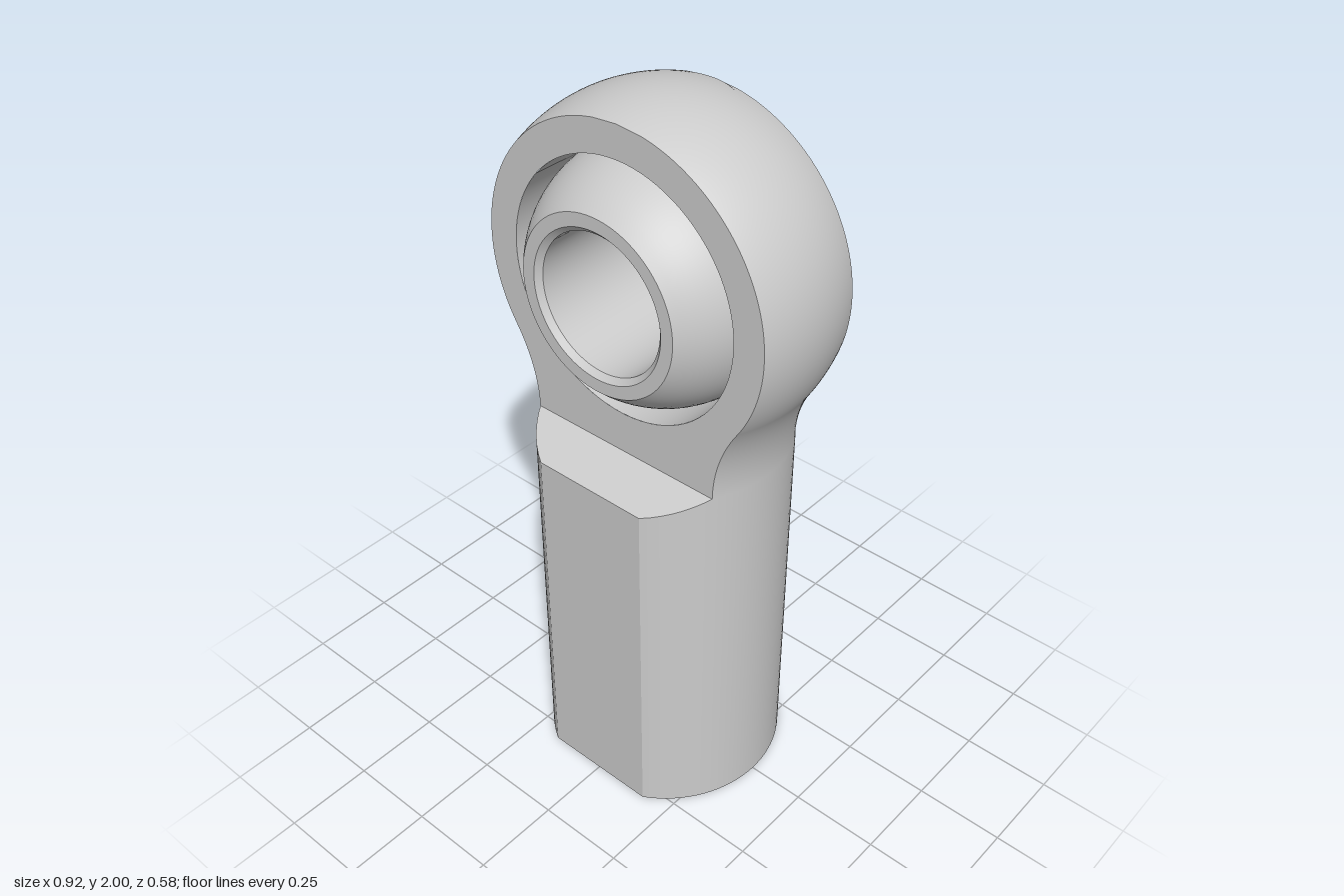
import * as THREE from 'three';
import { toCreasedNormals } from 'three/addons/utils/BufferGeometryUtils.js';

const SHANK_R = 0.335, HEAD_R = 0.46, EYE_Y = 1.54;
const FLAT_Z = 0.29, HEAD_Z = 0.163;          // half thickness of shank and head
const SLOPE_Y0 = 1.03, SLOPE_Y1 = 1.08;       // shoulder between the two
const RACE_R = 0.343, BALL_R = 0.34, BALL_Z = 0.245, BORE_R = 0.185;
const THREAD_R = 0.187, THREAD_DEPTH = 0.9;

const material = new THREE.MeshStandardMaterial({ color: 0xcccccc });

function add(parent, name, geometry, mat = material) {
  const mesh = new THREE.Mesh(geometry, mat);
  mesh.name = name;
  parent.add(mesh);
  return mesh;
}

function buffer(positions, normals, index) {
  const g = new THREE.BufferGeometry();
  g.setAttribute('position', new THREE.Float32BufferAttribute(positions, 3));
  if (normals) g.setAttribute('normal', new THREE.Float32BufferAttribute(normals, 3));
  if (index) g.setIndex(index);
  return g;
}

// Turned outline of the body, bottom to top: radius r, height y, normal (nr, ny), half thickness f
function bodyProfile() {
  const rows = [{ r: SHANK_R, y: 0, nr: 1, ny: 0, f: FLAT_Z }];
  for (let i = 0; i <= 8; i++) {
    const t = i / 8;
    rows.push({
      r: SHANK_R, y: THREE.MathUtils.lerp(SLOPE_Y0, SLOPE_Y1, t), nr: 1, ny: 0,
      f: THREE.MathUtils.lerp(FLAT_Z, HEAD_Z, t),
    });
  }
  // neck fillet, tangent to shank and ball-shaped head
  const drop = EYE_Y - SLOPE_Y1;
  const fillet = (drop * drop / (HEAD_R - SHANK_R) - HEAD_R - SHANK_R) / 2;
  const end = Math.atan2(drop, SHANK_R + fillet);
  for (let i = 1; i <= 14; i++) {
    const a = end * i / 14;
    rows.push({
      r: SHANK_R + fillet * (1 - Math.cos(a)), y: SLOPE_Y1 + fillet * Math.sin(a),
      nr: Math.cos(a), ny: -Math.sin(a), f: HEAD_Z,
    });
  }
  // spherical head, with one row exactly where the flats end
  const flatEnd = Math.acos(HEAD_Z / HEAD_R);
  const sphere = (a) => rows.push({
    r: HEAD_R * Math.cos(a), y: EYE_Y + HEAD_R * Math.sin(a),
    nr: Math.cos(a), ny: Math.sin(a), f: HEAD_Z,
  });
  for (let i = 1; i <= 48; i++) sphere(THREE.MathUtils.lerp(-end, flatEnd, i / 48));
  for (let i = 1; i <= 8; i++) sphere(THREE.MathUtils.lerp(flatEnd, Math.PI / 2, i / 8));
  return rows;
}

const halfWidth = (p) => Math.sqrt(Math.max(0, p.r * p.r - p.f * p.f));

// Rounded +x side of the body between the flats
function sideGeometry(rows) {
  const n = 32, pos = [], nor = [], idx = [];
  rows.forEach((p, i) => {
    const reach = p.r <= p.f + 1e-6 ? Math.PI / 2 : Math.asin(p.f / p.r);
    for (let j = 0; j <= n; j++) {
      const a = reach * (2 * j / n - 1);
      pos.push(p.r * Math.cos(a), p.y, p.r * Math.sin(a));
      nor.push(p.nr * Math.cos(a), p.ny, p.nr * Math.sin(a));
      if (i && j < n) {
        const c = i * (n + 1) + j, b = c - n - 1;
        idx.push(b, c, b + 1, c, c + 1, b + 1);
      }
    }
  });
  return buffer(pos, nor, idx);
}

// Planar strip across the body, following the outline rows
function stripGeometry(rows) {
  const pos = [];
  for (let i = 1; i < rows.length; i++) {
    const p = rows[i - 1], q = rows[i], a = halfWidth(p), b = halfWidth(q);
    pos.push(-a, p.y, p.f, a, p.y, p.f, b, q.y, q.f);
    pos.push(-a, p.y, p.f, b, q.y, q.f, -b, q.y, q.f);
  }
  const g = buffer(pos);
  g.computeVertexNormals();
  return g;
}

function circleHole(shape, x, y, r) {
  shape.holes.push(new THREE.Path().absarc(x, y, r, 0, Math.PI * 2, true));
}

// Flat face of the head around the eye
function headFaceGeometry(rows) {
  const head = rows.filter((p) => p.y >= SLOPE_Y1 - 1e-6 && p.r >= p.f - 1e-6);
  const right = head.map((p) => new THREE.Vector2(halfWidth(p), p.y));
  const left = right.slice(0, -1).reverse().map((v) => new THREE.Vector2(-v.x, v.y));
  const shape = new THREE.Shape([...right, ...left]);
  circleHole(shape, 0, EYE_Y, RACE_R);
  return new THREE.ShapeGeometry(shape, 64).translate(0, 0, HEAD_Z);
}

// Underside: circle with two flats and the threaded hole
function baseGeometry() {
  const a = Math.asin(FLAT_Z / SHANK_R);
  const shape = new THREE.Shape();
  shape.absarc(0, 0, SHANK_R, -a, a, false);
  shape.absarc(0, 0, SHANK_R, Math.PI - a, Math.PI + a, false);
  circleHole(shape, 0, 0, THREAD_R);
  return new THREE.ShapeGeometry(shape, 32).rotateX(Math.PI / 2);
}

// Threaded hole, from its blind end down to the base
function threadGeometry() {
  const pts = [new THREE.Vector2(0, THREAD_DEPTH)], turns = 13, pitch = THREAD_DEPTH / turns;
  for (let i = 0; i < turns; i++) {
    const y = THREAD_DEPTH - i * pitch;
    pts.push(new THREE.Vector2(THREAD_R, y), new THREE.Vector2(0.155, y - pitch * 0.45));
    pts.push(new THREE.Vector2(0.155, y - pitch * 0.55));
  }
  pts.push(new THREE.Vector2(THREAD_R, 0));
  return toCreasedNormals(new THREE.LatheGeometry(pts, 64), 0.5);
}

// Swivel ball with flat ends and a chamfered bore
function ballGeometry() {
  const pts = [], a = Math.asin(BALL_Z / BALL_R), cut = 0.015;
  for (let i = 0; i <= 24; i++) {
    const t = a * (i / 12 - 1);
    pts.push(new THREE.Vector2(BALL_R * Math.cos(t), BALL_R * Math.sin(t)));
  }
  pts.push(
    new THREE.Vector2(BORE_R + cut, BALL_Z), new THREE.Vector2(BORE_R, BALL_Z - cut),
    new THREE.Vector2(BORE_R, cut - BALL_Z), new THREE.Vector2(BORE_R + cut, -BALL_Z),
    pts[0].clone());
  return toCreasedNormals(new THREE.LatheGeometry(pts, 80), 0.5).rotateX(Math.PI / 2);
}

export function createModel() {
  const model = new THREE.Group();
  model.name = 'rodEnd';
  const body = new THREE.Group();
  body.name = 'body';
  model.add(body);

  const rows = bodyProfile();
  const side = sideGeometry(rows);
  const shankFlat = stripGeometry(rows.slice(0, 2));
  const shoulder = stripGeometry(rows.slice(1, 10));
  const headFace = headFaceGeometry(rows);

  // both halves are the same, turned half a circle
  for (const [turn, x, z] of [[0, 'left', 'front'], [Math.PI, 'right', 'back']]) {
    add(body, x + 'Side', side).rotation.y = turn;
    add(body, z + 'ShankFlat', shankFlat).rotation.y = turn;
    add(body, z + 'Shoulder', shoulder).rotation.y = turn;
    add(body, z + 'HeadFace', headFace).rotation.y = turn;
  }
  add(body, 'base', baseGeometry());
  add(body, 'threadedHole', threadGeometry());

  const inside = material.clone();
  inside.side = THREE.BackSide;
  const race = new THREE.CylinderGeometry(RACE_R, RACE_R, HEAD_Z * 2, 80, 1, true).rotateX(Math.PI / 2);
  add(body, 'race', race, inside).position.y = EYE_Y;

  add(model, 'swivelBall', ballGeometry()).position.y = EYE_Y;
  return model;
}
